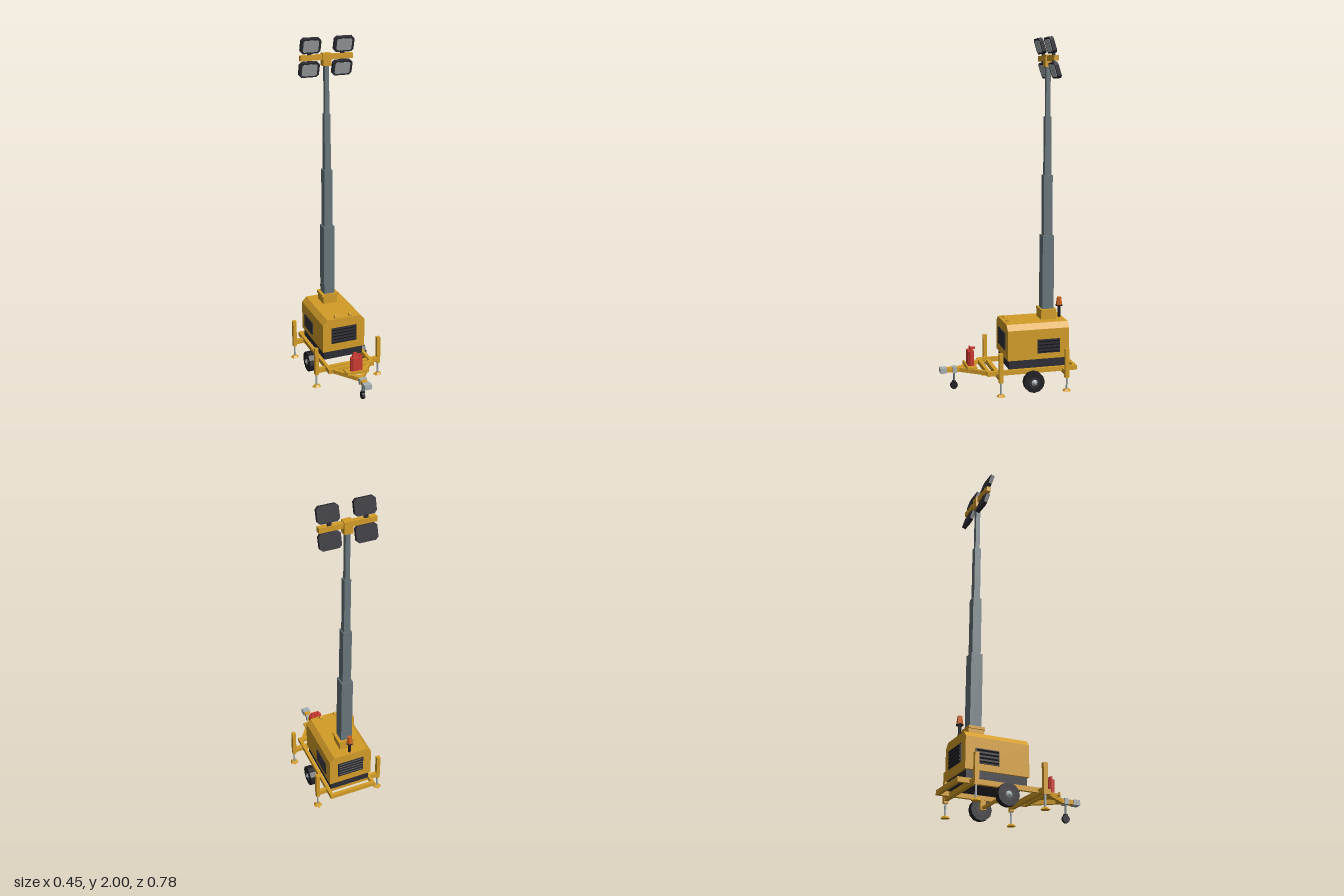
import * as THREE from 'three';

const mat = (name, color) => Object.assign(new THREE.MeshStandardMaterial({ color }), { name });

export function createModel() {
  const root = new THREE.Group();
  root.name = 'lightingTower';
  const yellow = mat('yellowPaint', 0xd39c27);
  const dark = mat('darkPlastic', 0x2c2c34);
  const black = mat('blackRubber', 0x1f1f24);
  const steel = mat('mastSteel', 0x68757a);
  const zinc = mat('zincSteel', 0xa8b0b2);
  const lensGrey = mat('lampGlass', 0xa3a9aa);
  const red = mat('redPaint', 0xcb3a31);
  const orange = mat('orangeGlass', 0xcf621f);

  const add = (name, geo, m, x = 0, y = 0, z = 0, parent = root) => {
    const mesh = new THREE.Mesh(geo, m);
    mesh.name = name;
    mesh.position.set(x, y, z);
    parent.add(mesh);
    return mesh;
  };
  const box = (name, m, w, h, d, x, y, z, parent) => add(name, new THREE.BoxGeometry(w, h, d), m, x, y, z, parent);
  // faceted cylinder with flat normals
  const cyl = (name, m, rTop, rBottom, h, sides, x, y, z, parent) => {
    const g = new THREE.CylinderGeometry(rTop, rBottom, h, sides).toNonIndexed();
    g.computeVertexNormals();
    return add(name, g, m, x, y, z, parent);
  };
  // rectangle with cut corners, extruded along z and centred
  const cutBlock = (w, h, d, c) => {
    const a = w / 2, b = h / 2;
    const s = new THREE.Shape([
      [-a + c, -b], [a - c, -b], [a, -b + c], [a, b - c],
      [a - c, b], [-a + c, b], [-a, b - c], [-a, -b + c],
    ].map(p => new THREE.Vector2(...p)));
    return new THREE.ExtrudeGeometry(s, { depth: d, bevelEnabled: false }).translate(0, 0, -d / 2);
  };
  // flat bar between two points in plan
  const bar = (name, m, x1, z1, x2, z2, w, h, y) => {
    const b = box(name, m, w, h, Math.hypot(x2 - x1, z2 - z1), (x1 + x2) / 2, y, (z1 + z2) / 2);
    b.rotation.y = Math.atan2(x2 - x1, z2 - z1);
  };

  // chassis
  for (const s of [-1, 1]) {
    box('sideRail', yellow, 0.019, 0.027, 0.532, s * 0.134, 0.116, -0.124);
    bar('drawbarArm', yellow, s * 0.128, 0.115, s * 0.012, 0.272, 0.019, 0.024, 0.116);
    box('axleHanger', yellow, 0.014, 0.055, 0.03, s * 0.134, 0.08, -0.123);
  }
  for (const z of [-0.38, 0.132]) box('crossRail', yellow, 0.25, 0.027, 0.019, 0, 0.116, z);
  for (const z of [-0.312, 0.077]) box('outriggerBeam', yellow, 0.39, 0.028, 0.023, 0, 0.106, z);
  box('axle', yellow, 0.3, 0.014, 0.014, 0, 0.063, -0.123);
  box('drawbar', yellow, 0.034, 0.024, 0.105, 0, 0.116, 0.307);

  // coupling and jockey wheel
  box('coupler', zinc, 0.044, 0.03, 0.038, 0, 0.116, 0.369);
  box('jockeyClamp', zinc, 0.044, 0.033, 0.023, 0, 0.116, 0.305);
  cyl('jockeyStem', steel, 0.006, 0.006, 0.075, 8, 0, 0.075, 0.307);
  box('jockeyFork', black, 0.022, 0.012, 0.018, 0, 0.043, 0.307);
  cyl('jockeyWheel', black, 0.022, 0.022, 0.016, 10, 0, 0.022, 0.307).rotation.z = Math.PI / 2;

  // tray and fuel can
  box('tray', yellow, 0.134, 0.01, 0.06, 0, 0.133, 0.212);
  box('trayLip', yellow, 0.134, 0.02, 0.008, 0, 0.135, 0.238);
  const can = new THREE.Group();
  can.name = 'fuelCan';
  can.position.set(0, 0, 0.21);
  root.add(can);
  add('canBody', cutBlock(0.076, 0.036, 0.085, 0.012).rotateX(-Math.PI / 2), red, 0, 0.18, 0, can);
  box('canHandle', red, 0.052, 0.008, 0.01, 0, 0.237, 0, can);
  for (const x of [-0.022, 0.022]) box('handlePost', red, 0.008, 0.016, 0.01, x, 0.228, 0, can);
  box('canSpout', red, 0.018, 0.01, 0.026, 0, 0.235, -0.015, can);

  // road wheels
  for (const s of [-1, 1]) {
    const wheel = new THREE.Group();
    wheel.name = 'wheel';
    wheel.position.set(s * 0.167, 0.06, -0.123);
    wheel.rotation.z = -s * Math.PI / 2;
    root.add(wheel);
    cyl('tyre', black, 0.061, 0.061, 0.037, 12, 0, 0, 0, wheel);
    cyl('rim', dark, 0.034, 0.034, 0.039, 12, 0, 0, 0, wheel);
    cyl('hubCap', zinc, 0.003, 0.02, 0.011, 8, 0, 0.024, 0, wheel);
  }

  // four outrigger jacks
  for (const x of [-0.197, 0.197]) for (const z of [-0.312, 0.077]) {
    const jack = new THREE.Group();
    jack.name = 'outriggerJack';
    jack.position.set(x, 0, z);
    root.add(jack);
    box('jackTube', yellow, 0.022, 0.17, 0.024, 0, 0.165, 0, jack);
    cyl('jackLeg', zinc, 0.006, 0.006, 0.07, 8, 0, 0.046, 0, jack);
    cyl('jackFoot', yellow, 0.014, 0.027, 0.013, 5, 0, 0.0065, 0, jack).rotation.y = Math.PI;
  }

  // engine housing
  const profile = new THREE.Shape([
    [-0.132, 0.18], [0.132, 0.18], [0.132, 0.355], [0.104, 0.386], [-0.104, 0.386], [-0.132, 0.355],
  ].map(p => new THREE.Vector2(...p)));
  add('housing', new THREE.ExtrudeGeometry(profile, { depth: 0.365, bevelEnabled: false }), yellow, 0, 0, -0.345);
  box('housingBase', dark, 0.244, 0.055, 0.345, 0, 0.1545, -0.1625);

  // louvred grilles: centre, yaw, width, height
  const grille = (x, y, z, yaw, w, h) => {
    const g = new THREE.Group();
    g.name = 'grille';
    g.position.set(x, y, z);
    g.rotation.y = yaw;
    root.add(g);
    box('grillePanel', dark, w, h, 0.006, 0, 0, 0.002, g);
    const n = Math.round(h / 0.02);
    for (let i = 0; i < n; i++) {
      const slat = box('louvre', black, w * 0.92, 0.009, 0.006, 0, (i + 0.5 - n / 2) * h / n, 0.006, g);
      slat.rotation.x = 0.4;
    }
  };
  grille(0, 0.28, 0.02, 0, 0.16, 0.1);
  grille(0, 0.28, -0.345, Math.PI, 0.16, 0.1);
  for (const s of [-1, 1]) grille(s * 0.132, 0.255, -0.222, s * Math.PI / 2, 0.135, 0.08);

  // lifting lugs
  for (const x of [-0.046, 0.046])
    cyl('liftingLug', yellow, 0.01, 0.01, 0.014, 8, x, 0.393, 0).rotation.z = Math.PI / 2;

  // warning beacon
  for (const [name, m, rt, rb, y0, y1] of [
    ['beaconStem', black, 0.009, 0.009, 0.385, 0.455],
    ['beaconBase', black, 0.02, 0.02, 0.452, 0.46],
    ['beaconLamp', orange, 0.013, 0.019, 0.46, 0.505],
  ]) cyl(name, m, rt, rb, y1 - y0, 6, 0, (y0 + y1) / 2, -0.325).rotation.y = Math.PI / 6;

  // telescopic mast
  const mz = -0.247;
  box('mastCollar', yellow, 0.09, 0.06, 0.09, 0, 0.415, mz);
  box('mastCollarLip', yellow, 0.106, 0.015, 0.092, 0, 0.4385, mz);
  for (const [w, y0, y1] of [[0.068, 0.44, 0.877], [0.051, 0.87, 1.225], [0.037, 1.22, 1.557], [0.026, 1.55, 1.845]])
    box('mastSection', steel, w, y1 - y0, w, 0, (y0 + y1) / 2, mz);

  // lamp head
  box('headBlock', yellow, 0.05, 0.07, 0.042, 0, 1.869, mz);
  box('lampBar', yellow, 0.314, 0.03, 0.026, 0, 1.883, mz);
  for (const x of [-0.099, 0.099]) for (const [y, z, arm] of [[1.953, -0.23, 1.905], [1.816, -0.258, 1.862]]) {
    box('lampBracket', dark, 0.022, 0.024, 0.014, x, arm, mz - 0.002);
    const lamp = new THREE.Group();
    lamp.name = 'floodlight';
    lamp.position.set(x, y, z);
    lamp.rotation.x = 0.3;
    root.add(lamp);
    add('lampHousing', cutBlock(0.118, 0.09, 0.022, 0.014), dark, 0, 0, 0, lamp);
    add('lampLens', cutBlock(0.09, 0.07, 0.004, 0.008), lensGrey, 0, 0, 0.011, lamp);
  }
  return root;
}
